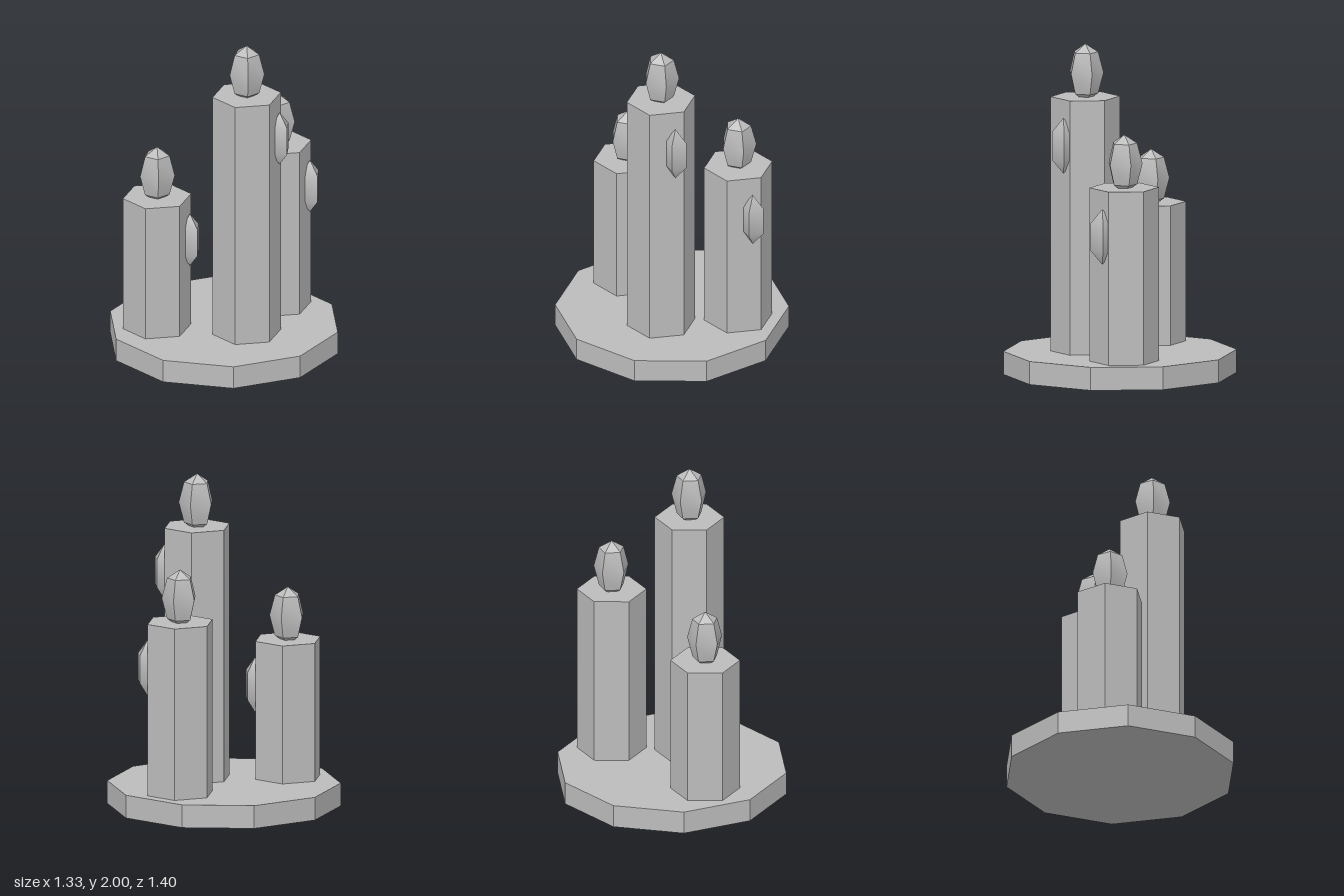
import * as THREE from 'three';
import { toCreasedNormals } from 'three/addons/utils/BufferGeometryUtils.js';

const CREASE = 0.6;
const BASE_HEIGHT = 0.14;

export function createModel() {
  const model = new THREE.Group();
  model.name = 'candleGroup';

  const grey = new THREE.MeshStandardMaterial({ color: 0xbcbcbc });
  grey.name = 'plain grey';

  const addPart = (parent, name, geometry, x, y, z) => {
    const mesh = new THREE.Mesh(toCreasedNormals(geometry, CREASE), grey);
    mesh.name = name;
    mesh.position.set(x, y, z);
    parent.add(mesh);
    return mesh;
  };

  // ten-sided plate
  addPart(model, 'basePlate', new THREE.CylinderGeometry(0.7, 0.7, BASE_HEIGHT, 10), 0, BASE_HEIGHT / 2, 0);

  // one candle: six-sided wax column, five-sided flame and a wax drip on the front left
  const addCandle = (name, x, z, top) => {
    const candle = new THREE.Group();
    candle.name = name;
    candle.position.set(x, 0, z);
    model.add(candle);

    const height = top - BASE_HEIGHT;
    addPart(candle, 'waxColumn', new THREE.CylinderGeometry(0.208, 0.208, height, 6), 0, BASE_HEIGHT + height / 2, 0);

    const flame = new THREE.SphereGeometry(0.11, 5, 4).rotateY(-Math.PI / 2).scale(1, 1.6, 1);
    addPart(candle, 'flame', flame, 0, top + 0.144, 0);

    const drip = new THREE.SphereGeometry(0.08, 4, 3).scale(1, 2.1, 1);
    addPart(candle, 'waxDrip', drip, 0.14, top - 0.277, 0.14);
  };

  addCandle('tallCandle', 0, 0.208, 1.68);
  addCandle('mediumCandle', 0.418, 0, 1.19);
  addCandle('shortCandle', -0.35, -0.208, 0.985);

  return model;
}
